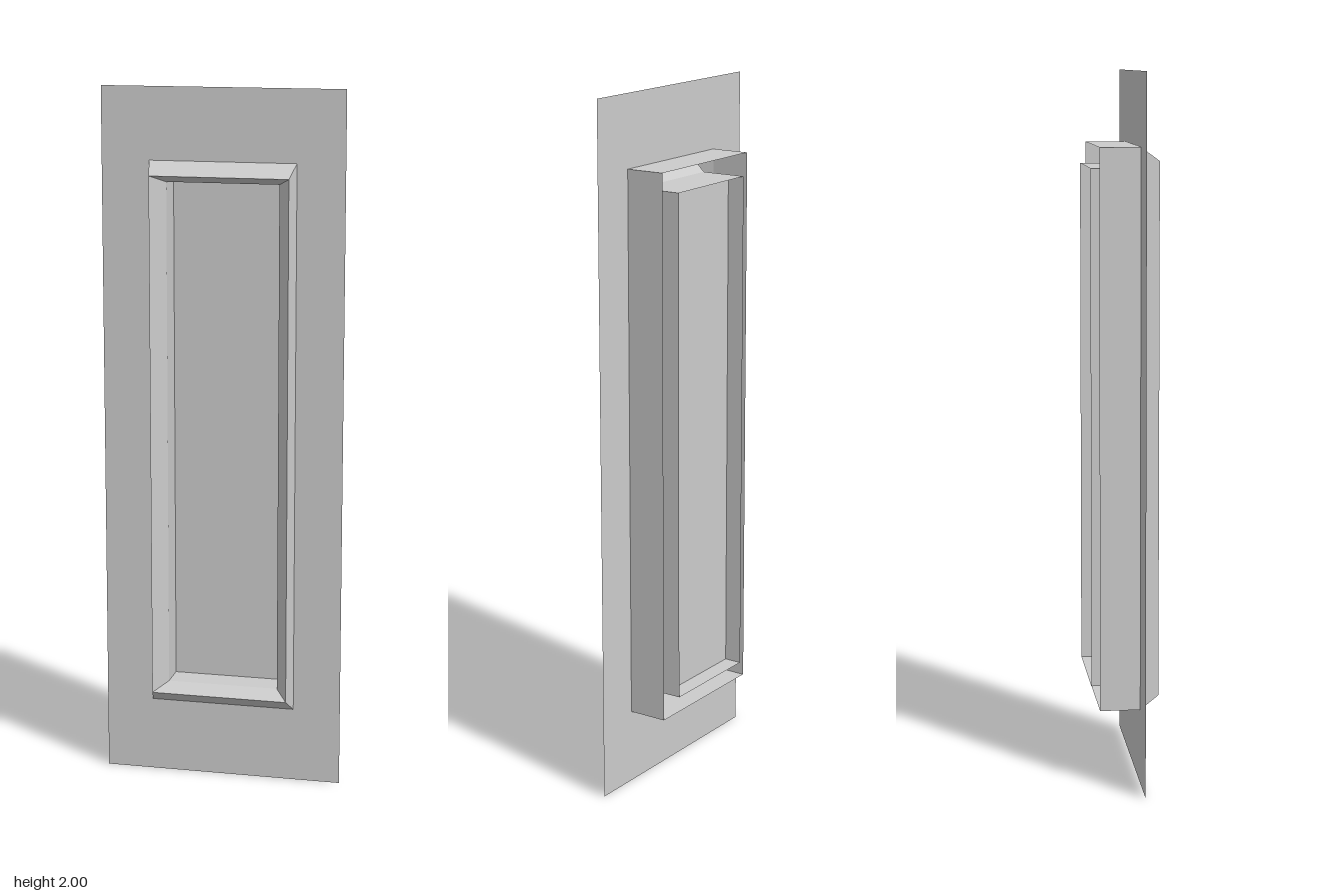
import * as THREE from 'three';

const CENTER_Y = 1.005;

// Rectangular moulding: each ring is [half width, half height, z]; consecutive rings are joined by flat strips
function rectangularLoft(rings) {
  const corner = ([w, h, z], i) => {
    const sx = [-1, 1, 1, -1][i % 4], sy = [-1, -1, 1, 1][i % 4];
    return [sx * w, CENTER_Y + sy * h, z];
  };
  const pos = [];
  for (let r = 0; r < rings.length - 1; r++) {
    for (let i = 0; i < 4; i++) {
      const a = corner(rings[r], i), b = corner(rings[r], i + 1);
      const c = corner(rings[r + 1], i + 1), d = corner(rings[r + 1], i);
      pos.push(...a, ...b, ...c, ...a, ...c, ...d);
    }
  }
  const geo = new THREE.BufferGeometry();
  geo.setAttribute('position', new THREE.Float32BufferAttribute(pos, 3));
  geo.computeVertexNormals();
  return geo;
}

function rectangle(path, w, y0, y1) {
  path.moveTo(-w, y0);
  path.lineTo(w, y0);
  path.lineTo(w, y1);
  path.lineTo(-w, y1);
  path.closePath();
  return path;
}

export function createModel() {
  const group = new THREE.Group();
  const material = new THREE.MeshStandardMaterial({
    color: 0xcccccc, flatShading: true, side: THREE.DoubleSide,
  });
  const add = (name, geometry) => {
    const mesh = new THREE.Mesh(geometry, material);
    mesh.name = name;
    group.add(mesh);
    return mesh;
  };

  // Thin wall sheet with the window opening
  const wall = rectangle(new THREE.Shape(), 0.347, 0, 2);
  wall.holes.push(rectangle(new THREE.Path(), 0.21, CENTER_Y - 0.79, CENTER_Y + 0.79));
  add('wallSheet', new THREE.ShapeGeometry(wall)).position.z = 0.04;

  // Frame: outer sleeve, bevel up to a sharp rim, inner slope, inner sleeve
  add('windowFrame', rectangularLoft([
    [0.21, 0.79, -0.074],
    [0.21, 0.79, 0.04],
    [0.198, 0.752, 0.093],
    [0.161, 0.731, 0.04],
    [0.161, 0.731, -0.094],
  ]));

  // Recessed pane inside the inner sleeve
  add('pane', new THREE.PlaneGeometry(0.322, 1.462)).position.set(0, CENTER_Y, -0.043);

  return group;
}
